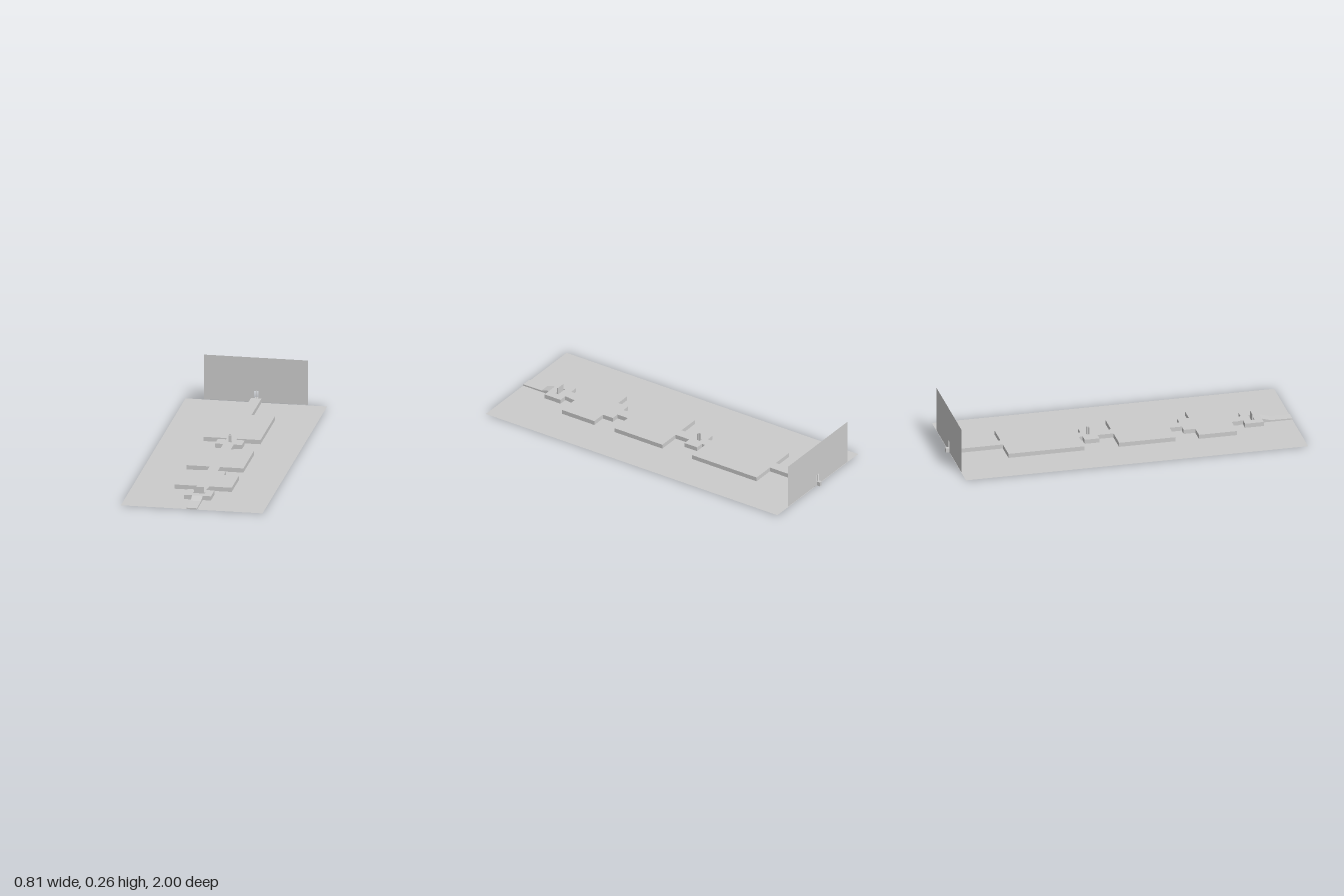
import * as THREE from 'three';

const material = new THREE.MeshStandardMaterial({ color: 0xcccccc, flatShading: true, side: THREE.DoubleSide });

export function createModel() {
  const model = new THREE.Group();

  const add = (name, geometry, x = 0, y = 0, z = 0) => {
    const mesh = new THREE.Mesh(geometry, material);
    mesh.name = name;
    mesh.position.set(x, y, z);
    model.add(mesh);
    return mesh;
  };
  const box = (name, w, h, d, x, y, z) => add(name, new THREE.BoxGeometry(w, h, d), x, y, z);

  // Rectangular opening for a shape
  const rectHole = (x, y, w, h) => {
    const p = new THREE.Path();
    p.moveTo(x - w / 2, y - h / 2);
    p.lineTo(x - w / 2, y + h / 2);
    p.lineTo(x + w / 2, y + h / 2);
    p.lineTo(x + w / 2, y - h / 2);
    p.closePath();
    return p;
  };

  // Thin ground sheet
  add('ground', new THREE.PlaneGeometry(0.81, 1.98).rotateX(-Math.PI / 2), 0, 0, 0.01);

  // Thin back wall with a narrow slot
  const wall = new THREE.Shape();
  wall.moveTo(-0.298, 0.003);
  wall.lineTo(0.297, 0.003);
  wall.lineTo(0.297, 0.265);
  wall.lineTo(-0.298, 0.265);
  wall.closePath();
  wall.holes.push(rectHole(0, 0.037, 0.024, 0.06));
  add('backWall', new THREE.ShapeGeometry(wall), 0, 0, -0.98);

  // Stepped slab: half width of each section and the z where it ends
  const sections = [
    [0.03, -0.675], [0.163, -0.235], [0.03, -0.213], [0.077, -0.127], [0.03, -0.035],
    [0.163, 0.29], [0.03, 0.36], [0.077, 0.427], [0.163, 0.648], [0.034, 0.688], [0.03, 0.715], [0.077, 0.823],
  ];
  const side = [];
  let z = -0.98;
  for (const [w, end] of sections) {
    side.push([w, -z], [w, -end]);
    z = end;
  }
  const outline = [...side, ...side.map(([x, y]) => [-x, y]).reverse()];
  const slab = new THREE.Shape(outline.map(([x, y]) => new THREE.Vector2(x, y)));
  slab.holes.push(rectHole(0, -0.77, 0.068, 0.02), rectHole(0, 0.175, 0.018, 0.02));
  const slabGeometry = new THREE.ExtrudeGeometry(slab, { depth: 0.025, bevelEnabled: false });
  add('steppedSlab', slabGeometry.rotateX(-Math.PI / 2));

  // Ramp that falls to a low strip at the front edge
  const ramp = new THREE.Shape();
  ramp.moveTo(-0.823, 0);
  ramp.lineTo(-0.823, 0.025);
  ramp.lineTo(-0.875, 0.01);
  ramp.lineTo(-1, 0.008);
  ramp.lineTo(-1, 0);
  ramp.closePath();
  const rampGeometry = new THREE.ExtrudeGeometry(ramp, { depth: 0.06, bevelEnabled: false });
  rampGeometry.translate(0, 0, -0.03).rotateY(Math.PI / 2);
  add('frontRamp', rampGeometry);

  // Upright gate set in the front slot
  box('frontGate', 0.055, 0.06, 0.006, -0.002, 0.03, 0.77);

  // Small post in the middle block
  box('middlePost', 0.008, 0.07, 0.014, 0, 0.035, -0.178);
  box('middlePostFoot', 0.016, 0.04, 0.006, 0, 0.045, -0.169);

  // Tab and thin pin at the back slot
  box('backTab', 0.018, 0.025, 0.02, 0, 0.0125, -0.99);
  box('backPin', 0.004, 0.07, 0.004, 0, 0.035, -0.977);

  return model;
}
